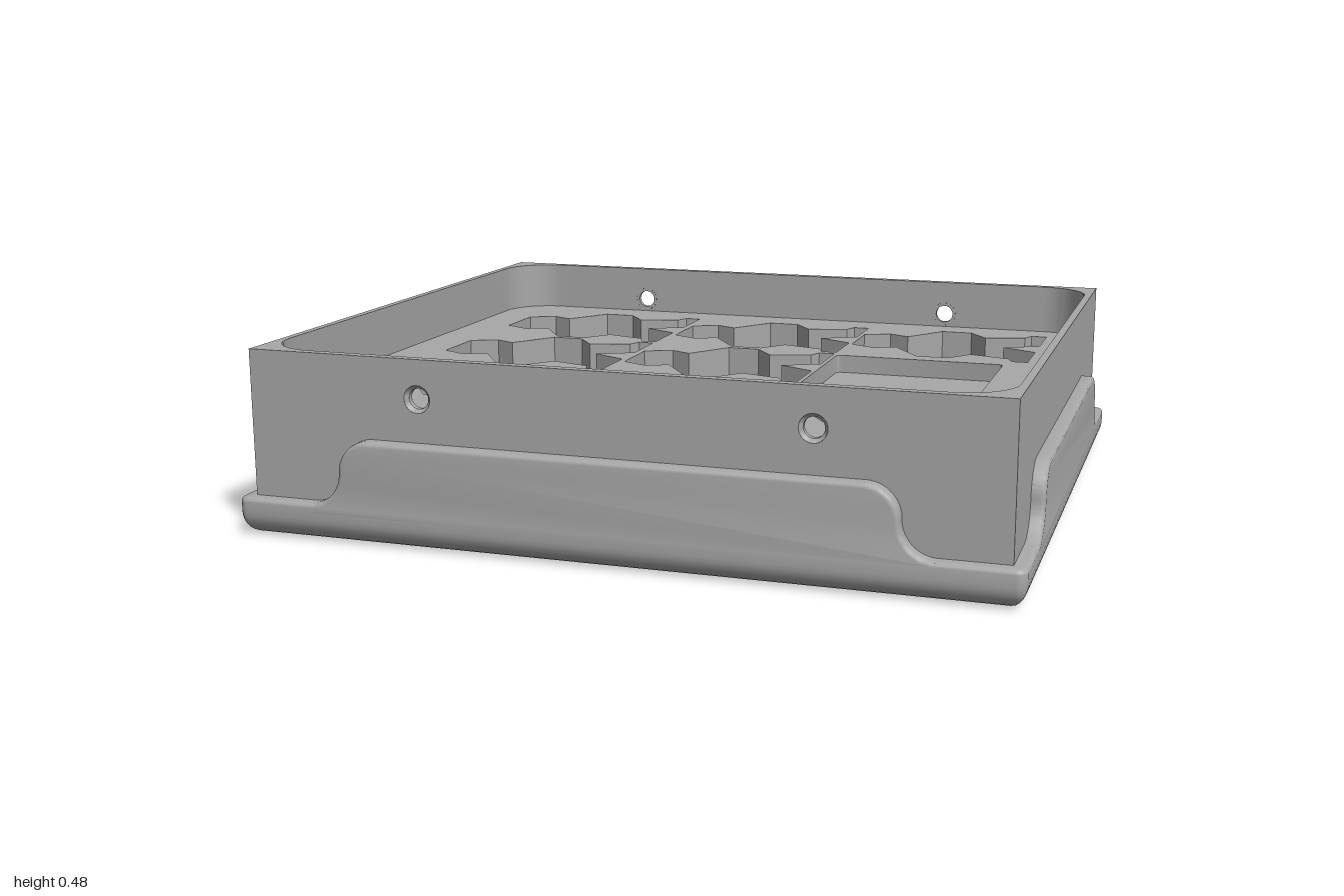
import * as THREE from 'three';
import { toCreasedNormals } from 'three/addons/utils/BufferGeometryUtils.js';

const grey = new THREE.MeshStandardMaterial({ color: 0xa8a8a8, side: THREE.DoubleSide });
grey.name = 'grey plastic';

const FLOOR = 0.34, TOP = 0.48, POCKET = 0.18, LEDGE = 0.10;
const BX = 0.965, BZ = 0.835;      // tray half sizes
const IX = 0.945, IZ = 0.81, IR = 0.135; // inside of the rim

function add(parent, name, geometry) {
  const mesh = new THREE.Mesh(geometry, grey);
  mesh.name = name;
  parent.add(mesh);
  return mesh;
}

// Extrude a plan shape (x, -z) upwards between two heights
function slab(shape, y0, y1) {
  const g = new THREE.ExtrudeGeometry(shape, { depth: y1 - y0, bevelEnabled: false, curveSegments: 12 });
  g.rotateX(-Math.PI / 2).translate(0, y0, 0);
  return toCreasedNormals(g, 0.5);
}

// Points of a rounded rectangle around the origin
function roundedLoop(hx, hy, r, steps) {
  const pts = [];
  for (let c = 0; c < 4; c++) {
    const cx = (c === 0 || c === 3 ? 1 : -1) * (hx - r);
    const cy = (c < 2 ? 1 : -1) * (hy - r);
    for (let i = 0; i <= steps; i++) {
      const a = (c + i / steps) * Math.PI / 2;
      pts.push(new THREE.Vector2(cx + r * Math.cos(a), cy + r * Math.sin(a)));
    }
  }
  return pts;
}

// Rounded foot: loft of rounded rectangles with a filleted lower edge
function baseGeometry() {
  const R = 0.06, profile = [[null, 0]];
  for (let i = 0; i <= 8; i++) {
    const a = (i / 8) * Math.PI / 2;
    profile.push([R * (1 - Math.sin(a)), R * (1 - Math.cos(a))]);
  }
  for (let i = 0; i <= 4; i++) {
    const a = (i / 4) * Math.PI / 2;
    profile.push([0.012 * (1 - Math.cos(a)), LEDGE - 0.012 * (1 - Math.sin(a))]);
  }
  profile.push([null, LEDGE]);
  const pos = [], idx = [], n = 24;
  for (const [inset, y] of profile) {
    const loop = inset === null ? null
      : roundedLoop(1 - inset, 0.87 - inset, Math.max(0.025 - inset, 0.002), 5);
    for (let i = 0; i < n; i++) pos.push(loop ? loop[i].x : 0, y, loop ? -loop[i].y : 0);
  }
  for (let k = 0; k < profile.length - 1; k++) {
    for (let i = 0; i < n; i++) {
      const a = k * n + i, b = k * n + (i + 1) % n;
      if (k > 0) idx.push(a, b, b + n);
      else idx.push(a, b + n, a + n);
      if (k > 0 && k < profile.length - 2) idx.push(a, b + n, a + n);
    }
  }
  const g = new THREE.BufferGeometry();
  g.setAttribute('position', new THREE.Float32BufferAttribute(pos, 3));
  g.setIndex(idx);
  return toCreasedNormals(g, 0.6);
}

// Raised side panel with S-shaped shoulders, outer face at z = out
function panelGeometry(mid, out) {
  const r = 0.085, b = 0.012, y1 = LEDGE + 2 * r;
  const s = new THREE.Shape();
  s.moveTo(-mid - r, 0.065);
  s.lineTo(mid + r, 0.065);
  s.lineTo(mid + r, LEDGE);
  s.absarc(mid + r, LEDGE + r, r, -Math.PI / 2, -Math.PI, true);
  s.absarc(mid - r, LEDGE + r, r, 0, Math.PI / 2, false);
  s.lineTo(-mid + r, y1);
  s.absarc(-mid + r, LEDGE + r, r, Math.PI / 2, Math.PI, false);
  s.absarc(-mid - r, LEDGE + r, r, 0, -Math.PI / 2, true);
  const g = new THREE.ExtrudeGeometry(s, {
    depth: 0.05, bevelThickness: b, bevelSize: b, bevelOffset: -b, bevelSegments: 3, curveSegments: 12,
  });
  g.translate(0, 0, out - 0.05 - b);
  return toCreasedNormals(g, 0.6);
}

// Fish-like pocket outline, mirrored across its long axis
const HALF = [[-0.27, 0.083], [-0.195, 0.118], [-0.135, 0.088], [-0.05, 0.21], [0.04, 0.21],
  [0.095, 0.138], [0.21, 0.172], [0.225, 0.21], [0.27, 0.21], [0.27, 0.052]];
function pocket(cx, cz) {
  const pts = [...HALF, [0.17, 0], ...HALF.map(([x, y]) => [x, -y]).reverse()];
  return new THREE.Path(pts.map(([x, y]) => new THREE.Vector2(cx + x, -cz + y)));
}

export function createModel() {
  const model = new THREE.Group();
  model.name = 'storageTray';

  add(model, 'base', baseGeometry());

  // Side panels
  for (const i of [0, 1, 2, 3]) {
    const g = i % 2 ? panelGeometry(0.58, 1) : panelGeometry(0.71, 0.87);
    add(model, ['frontPanel', 'leftPanel', 'backPanel', 'rightPanel'][i], g).rotation.y = i * Math.PI / 2;
  }

  // Solid core under the pockets
  const core = new THREE.BoxGeometry(1.91, POCKET - 0.08, 1.644);
  add(model, 'pocketBottoms', core.translate(0, (POCKET + 0.08) / 2, 0));

  // Insert with cut-out pockets
  const insert = new THREE.Shape(roundedLoop(0.955, 0.822, 0.11, 8));
  for (const z of [-0.492, -0.047, 0.398]) {
    insert.holes.push(pocket(-0.55, z), pocket(0.01, z));
  }
  insert.holes.push(pocket(0.563, -0.507), pocket(0.563, 0.457));
  const square = roundedLoop(0.24, 0.238, 0.015, 3).map((p) => p.add(new THREE.Vector2(0.532, 0.003)));
  insert.holes.push(new THREE.Path(square));
  add(model, 'pocketInsert', slab(insert, POCKET, FLOOR));
  add(model, 'shallowTrayBottom', slab(new THREE.Shape(square), POCKET, FLOOR - 0.05));

  // Left and right walls with rounded inner corners
  const side = new THREE.Shape();
  side.moveTo(BX, -IZ);
  side.lineTo(BX, IZ);
  side.lineTo(IX - IR, IZ);
  side.absarc(IX - IR, IZ - IR, IR, Math.PI / 2, 0, true);
  side.absarc(IX - IR, -IZ + IR, IR, 0, -Math.PI / 2, true);
  for (const s of [0, 1]) {
    add(model, s ? 'rightWall' : 'leftWall', slab(side, 0.09, TOP)).rotation.y = s * Math.PI;
  }

  // Front and back walls with two countersunk holes each
  const wall = new THREE.Shape([[-BX, 0.09], [BX, 0.09], [BX, TOP], [-BX, TOP]].map((p) => new THREE.Vector2(...p)));
  for (const x of [-0.5, 0.5]) wall.holes.push(new THREE.Path().absarc(x, 0.38, 0.035, 0, Math.PI * 2, true));
  const wallGeo = toCreasedNormals(
    new THREE.ExtrudeGeometry(wall, { depth: BZ - IZ, bevelEnabled: false, curveSegments: 24 }).translate(0, 0, IZ), 0.5);
  const sinkProfile = [[0.035, BZ], [0.026, BZ - 0.01], [0.026, IZ], [0.035, IZ]].map((p) => new THREE.Vector2(...p));
  const sinkGeo = toCreasedNormals(new THREE.LatheGeometry(sinkProfile, 24).rotateX(Math.PI / 2), 0.5);
  for (const s of [0, 1]) {
    const group = new THREE.Group();
    group.name = s ? 'backWall' : 'frontWall';
    group.rotation.y = s * Math.PI;
    add(group, 'wallPlate', wallGeo);
    for (const x of [-0.5, 0.5]) add(group, 'screwHole', sinkGeo).position.set(x, 0.38, 0);
    model.add(group);
  }
  return model;
}
